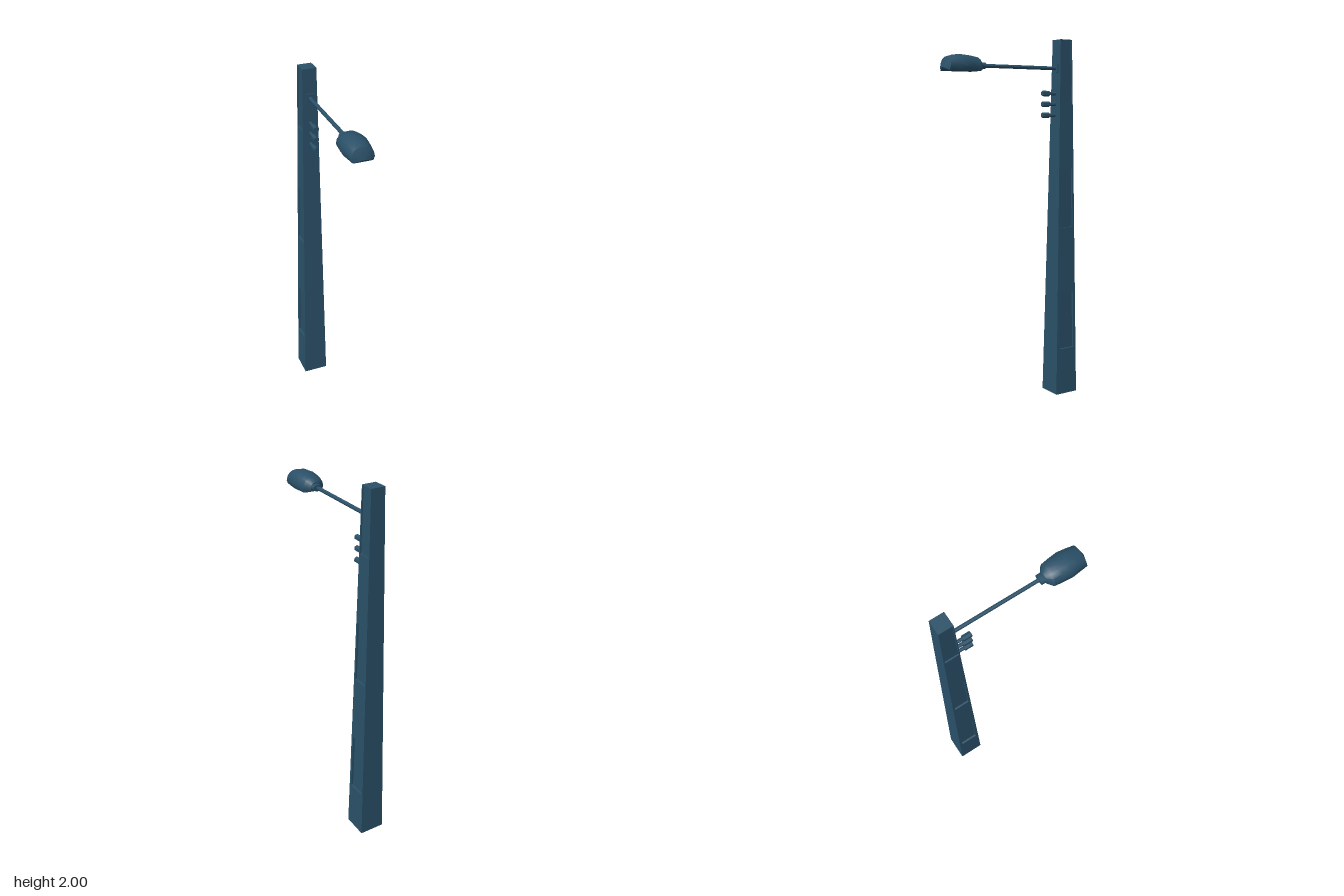
import * as THREE from 'three';
import { toCreasedNormals } from 'three/addons/utils/BufferGeometryUtils.js';

const POLE_Z = -0.34;
const material = new THREE.MeshStandardMaterial({ color: 0x2a5068 });

function add(parent, name, geometry, x = 0, y = 0, z = 0) {
  const mesh = new THREE.Mesh(geometry, material);
  mesh.name = name;
  mesh.position.set(x, y, z);
  parent.add(mesh);
  return mesh;
}

// Half width of the tapering square pole at a height
const halfWidth = (y) => 0.07 - 0.016 * y;

// One stretch of the pole; with w, both sides are recessed over that share of their width
function poleSegment(y0, y1, w = 0) {
  const d = 0.82;
  const outline = w
    ? [[-1, -1], [1, -1], [1, -w], [d, -w], [d, w], [1, w], [1, 1], [-1, 1], [-1, w], [-d, w], [-d, -w], [-1, -w]]
    : [[-1, -1], [1, -1], [1, 1], [-1, 1]];
  const shape = new THREE.Shape(outline.map(([x, y]) => new THREE.Vector2(x, y)));
  const g = new THREE.ExtrudeGeometry(shape, { depth: y1 - y0, bevelEnabled: false });
  g.rotateX(-Math.PI / 2).translate(0, y0, 0);
  const p = g.attributes.position;
  for (let i = 0; i < p.count; i++) {
    const h = halfWidth(p.getY(i));
    p.setXYZ(i, p.getX(i) * h, p.getY(i), p.getZ(i) * h);
  }
  g.computeVertexNormals();
  return g;
}

// Cylinder lying along z between two depths
function rod(radius, z0, z1, sides) {
  return toCreasedNormals(
    new THREE.CylinderGeometry(radius, radius, z1 - z0, sides)
      .rotateX(Math.PI / 2)
      .translate(0, 0, (z0 + z1) / 2), 0.9);
}

// Lamp housing: flat-bottomed, domed cross-sections joined along z
function lampHousing() {
  const bottom = 1.815;
  // z, half width, top height, bottom height
  const stations = [
    [0.185, 0.028, 1.868, 1.823],
    [0.21, 0.06, 1.887, bottom],
    [0.255, 0.066, 1.895, bottom],
    [0.3, 0.07, 1.899, bottom],
    [0.345, 0.064, 1.896, bottom],
    [0.388, 0.058, 1.886, bottom],
  ];
  // share of half width, share of height
  const section = [[0.86, 0], [1, 0.25], [0.93, 0.55], [0.74, 0.82], [0.4, 0.96], [0, 1],
    [-0.4, 0.96], [-0.74, 0.82], [-0.93, 0.55], [-1, 0.25], [-0.86, 0]];
  const n = section.length;
  const pos = [];
  const idx = [];
  stations.forEach(([z, w, top, low], s) => {
    const slant = s === stations.length - 1 ? 0.008 : 0;
    for (const [u, v] of section) pos.push(u * w, low + v * (top - low), z - slant * (v - 0.25));
  });
  for (let s = 0; s < stations.length - 1; s++) {
    for (let i = 0; i < n; i++) {
      const a = s * n + i, b = s * n + (i + 1) % n;
      idx.push(a, b, b + n, a, b + n, a + n);
    }
  }
  // End fans: shallow point in front, flat behind
  idx.forEach((v, k) => { if (k % 3 === 1) [idx[k], idx[k + 1]] = [idx[k + 1], v]; });
  const last = (stations.length - 1) * n;
  const front = pos.length / 3, back = front + 1;
  pos.push(0, 1.832, 0.407, 0, 1.845, 0.185);
  for (let i = 0; i < n; i++) {
    const j = (i + 1) % n;
    idx.push(last + i, last + j, front, j, i, back);
  }
  // Wind every face outward
  const centre = new THREE.Vector3(0, 1.85, 0.3);
  const at = (i) => new THREE.Vector3().fromArray(pos, i * 3);
  for (let k = 0; k < idx.length; k += 3) {
    const a = at(idx[k]), b = at(idx[k + 1]), c = at(idx[k + 2]);
    const normal = b.clone().sub(a).cross(c.sub(a));
    if (normal.dot(a.sub(centre)) < 0) [idx[k + 1], idx[k + 2]] = [idx[k + 2], idx[k + 1]];
  }
  const g = new THREE.BufferGeometry();
  g.setAttribute('position', new THREE.Float32BufferAttribute(pos, 3));
  g.setIndex(idx);
  return toCreasedNormals(g, 0.65);
}

export function createModel() {
  const model = new THREE.Group();
  model.name = 'streetLamp';

  // Pole with three recessed panels on each side
  const pole = new THREE.Group();
  pole.name = 'pole';
  pole.position.z = POLE_Z;
  model.add(pole);
  let y = 0;
  for (const [y0, y1, w] of [[0.265, 0.595, 0.75], [0.965, 1.295, 0.78], [1.665, 1.995, 0.87]]) {
    add(pole, 'poleSolid', poleSegment(y, y0));
    add(pole, 'poleRecess', poleSegment(y0, y1, w));
    y = y1;
  }
  add(pole, 'poleTop', poleSegment(y, 2));

  // Insulator pegs on the front face
  for (const py of [1.59, 1.65, 1.708]) {
    const peg = new THREE.Group();
    peg.name = 'peg';
    peg.position.y = py;
    add(peg, 'pegRod', rod(0.009, -0.31, -0.245, 6));
    add(peg, 'pegTip', rod(0.015, -0.253, -0.208, 6));
    model.add(peg);
  }

  // Arm with its wall plate
  add(model, 'armPlate', new THREE.BoxGeometry(0.044, 0.048, 0.018), 0, 1.845, -0.302);
  add(model, 'arm', rod(0.01, -0.3, 0.17, 8), 0, 1.845);

  // Lamp head
  const lamp = new THREE.Group();
  lamp.name = 'lampHead';
  model.add(lamp);
  const collar = add(lamp, 'lampCollar', rod(0.028, 0.16, 0.2, 12), 0, 1.845);
  collar.scale.y = 0.6;
  add(lamp, 'lampHousing', lampHousing());

  return model;
}
